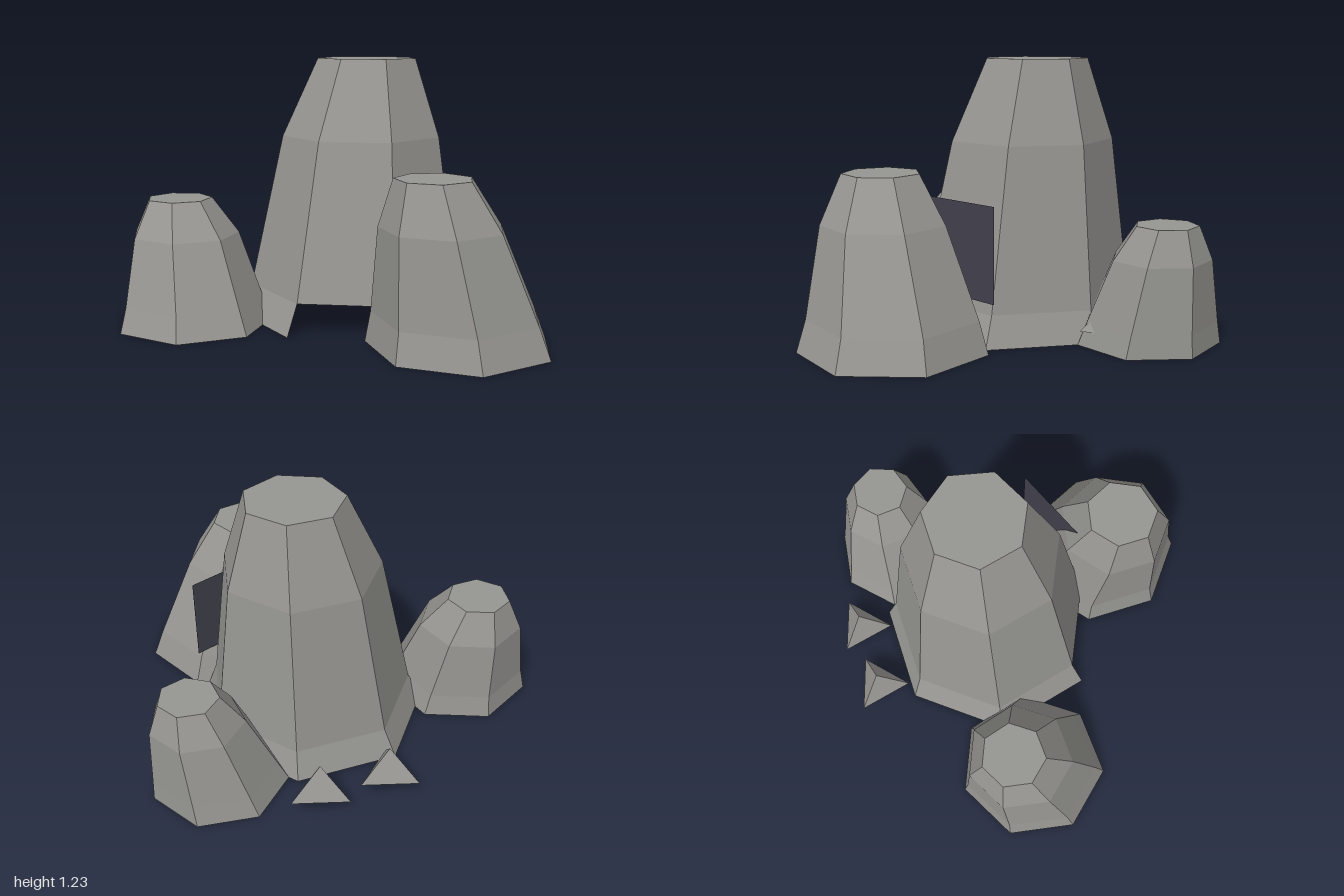
import * as THREE from 'three';

const SIDES = 7;
const DEG = Math.PI / 180;

// Leaning seven-sided rock shell, open underneath.
// rings: [y, radius, centreX, centreZ] from bottom to top; phase in degrees;
// gap: index of a side left open in the lowest band.
function rockGeometry(rings, phase, gap = -1) {
  const pos = [];
  const point = (ring, i) => {
    const [y, r, cx, cz] = ring;
    const a = phase * DEG + (i / SIDES) * Math.PI * 2;
    return [cx + r * Math.cos(a), y, cz + r * Math.sin(a)];
  };
  for (let k = 0; k < rings.length - 1; k++) {
    for (let i = 0; i < SIDES; i++) {
      if (k === 0 && i === gap) continue;
      const a = point(rings[k], i), b = point(rings[k], i + 1);
      const c = point(rings[k + 1], i + 1), d = point(rings[k + 1], i);
      pos.push(...a, ...d, ...b, ...b, ...d, ...c);
    }
  }
  // flat top
  const top = rings[rings.length - 1];
  for (let i = 0; i < SIDES; i++) {
    pos.push(top[2], top[0], top[3], ...point(top, i + 1), ...point(top, i));
  }
  const geo = new THREE.BufferGeometry();
  geo.setAttribute('position', new THREE.Float32BufferAttribute(pos, 3));
  geo.computeVertexNormals();
  return geo;
}

export function createModel() {
  const stone = new THREE.MeshStandardMaterial({ color: 0x969591, side: THREE.DoubleSide });
  stone.name = 'stoneGrey';
  const dark = new THREE.MeshStandardMaterial({ color: 0x42414d, side: THREE.DoubleSide });
  dark.name = 'darkSlate';

  const group = new THREE.Group();
  group.name = 'rockCluster';
  const add = (name, geo, mat) => {
    const mesh = new THREE.Mesh(geo, mat);
    mesh.name = name;
    group.add(mesh);
    return mesh;
  };

  // Main rock, with a low opening at the front
  add('mainRock', rockGeometry([
    [0, 0.57, 0.1, -0.04],
    [0.14, 0.51, 0.11, -0.05],
    [0.86, 0.384, 0.136, -0.09],
    [1.23, 0.24, 0.16, -0.115],
  ], 66.6, 0), stone);

  // Smaller rocks around it
  add('frontRock', rockGeometry([
    [0, 0.42, 0.6, 0.5],
    [0.14, 0.38, 0.585, 0.5],
    [0.53, 0.279, 0.514, 0.545],
    [0.745, 0.175, 0.475, 0.56],
  ], 80), stone);
  add('sideRock', rockGeometry([
    [0, 0.37, -0.64, 0.235],
    [0.11, 0.335, -0.65, 0.22],
    [0.41, 0.256, -0.69, 0.165],
    [0.575, 0.154, -0.72, 0.135],
  ], 90), stone);
  add('backRock', rockGeometry([
    [0, 0.322, 0.49, -0.6],
    [0.1, 0.295, 0.51, -0.61],
    [0.385, 0.22, 0.565, -0.645],
    [0.535, 0.139, 0.59, -0.664],
  ], 23), stone);

  // Small three-sided shards hovering near the back
  const shard = new THREE.ConeGeometry(0.155, 0.15, 3).toNonIndexed();
  shard.rotateY(0.1);
  shard.computeVertexNormals();
  [[-0.3, -0.6], [0.01, -0.733], [0.59, -0.45]].forEach(([x, z], i) => {
    add('shard' + (i + 1), shard, stone).position.set(x, 0.145, z);
  });

  // Dark upright panel beside the main rock
  const panel = add('darkPanel', new THREE.PlaneGeometry(0.46, 0.42), dark);
  panel.position.set(0.525, 0.42, 0.235);
  panel.rotation.y = Math.PI / 4;

  return group;
}
